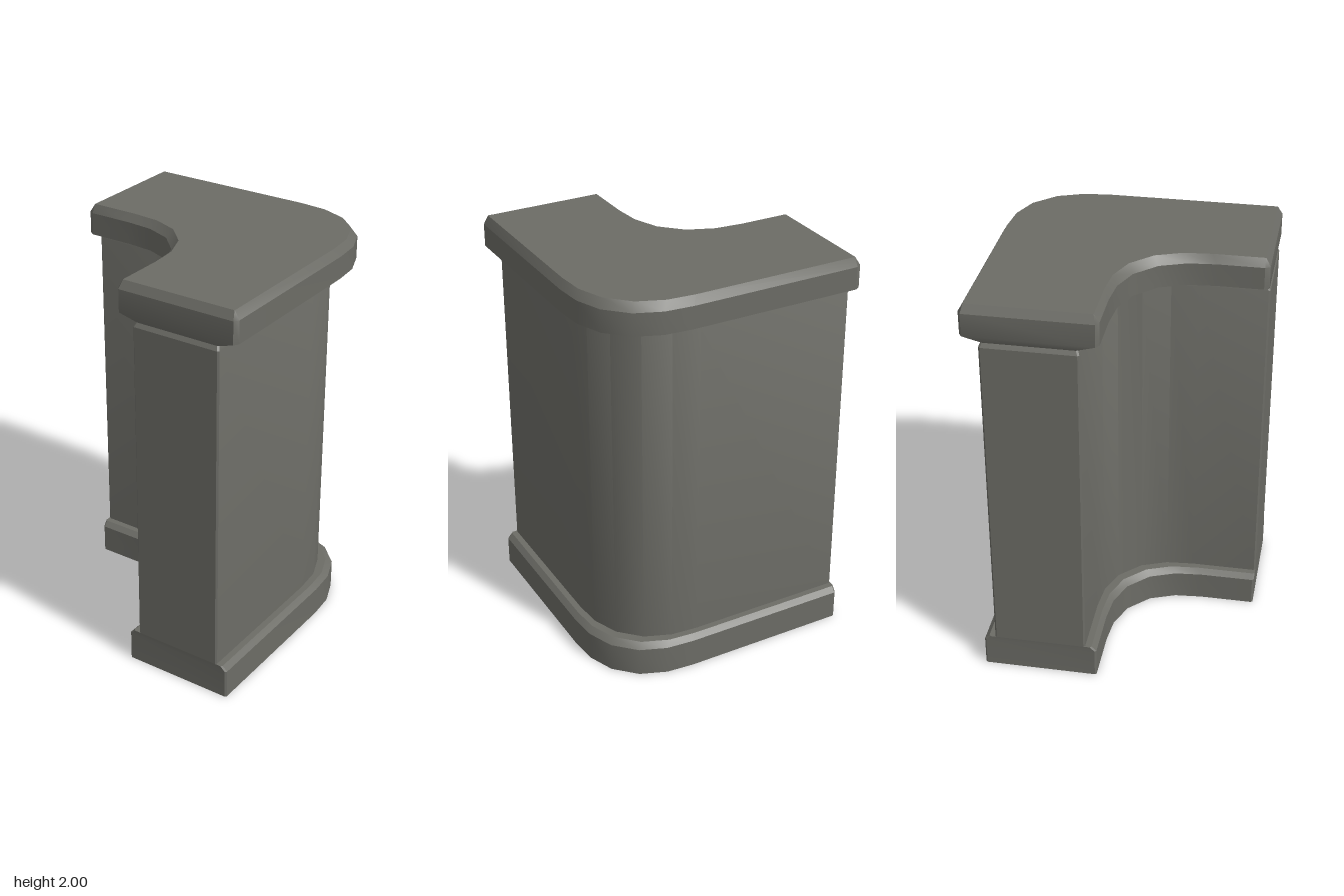
import * as THREE from 'three';
import { toCreasedNormals } from 'three/addons/utils/BufferGeometryUtils.js';

const EDGE = 0.647;   // outer extent of the coping
const WIDTH = 0.625;  // coping width

// first half of the bend; the other half mirrors over the diagonal
const BEND = [[0.22, -0.647], [0.356, -0.635], [0.484, -0.585]];

// one long side of the wall, moved diagonally inwards by s; dir points to the wall core
function sideLine(s, dir, end, cutX, cutZ) {
  const z = -EDGE + s;
  const half = [[-end, z + dir * cutZ], [-end + cutX, z], ...BEND.map(([x, zz]) => [x - s, zz + s])];
  const mirrored = half.map(([x, zz]) => [-zz, -x]).reverse();
  return [...half, ...mirrored];
}

// closed outline at one height: outer side, then inner side back again
function ring({ y, inset, end, cutX = 0.008, cutZ = 0.008 }) {
  const outer = sideLine(inset, 1, end, cutX, cutZ);
  const inner = sideLine(WIDTH - inset, -1, end, cutX, cutZ).reverse();
  return [...outer, ...inner].map(([x, z]) => [x, y, z]);
}

// skin between stacked outlines, optionally closed on top
function skin(name, levels, material, closeTop = false) {
  const rings = levels.map(ring);
  const n = rings[0].length;
  const index = [];
  for (let r = 0; r < rings.length - 1; r++) {
    for (let i = 0; i < n; i++) {
      const a = r * n + i, b = r * n + (i + 1) % n;
      index.push(a, a + n, b + n, a, b + n, b);
    }
  }
  if (closeTop) {
    const o = (rings.length - 1) * n;
    for (let i = 0; i < n / 2 - 1; i++) {
      const a = o + i, b = a + 1, c = o + n - 1 - i, d = c - 1;
      index.push(a, c, d, a, d, b);
    }
  }
  const geometry = new THREE.BufferGeometry();
  geometry.setAttribute('position', new THREE.Float32BufferAttribute(rings.flat(2), 3));
  geometry.setIndex(index);
  const mesh = new THREE.Mesh(toCreasedNormals(geometry, 0.5), material);
  mesh.name = name;
  return mesh;
}

export function createModel() {
  const group = new THREE.Group();
  group.name = 'curvedWallCorner';
  const stone = new THREE.MeshStandardMaterial({ color: 0x6c6c66, side: THREE.DoubleSide });
  stone.name = 'grey stone';

  const ledge = { y: 0.17, inset: 0.087, end: 0.647 };
  const neck = { y: 1.82, inset: 0.095, end: 0.635 };
  const capCut = { cutX: 0.024, cutZ: 0.015 };

  // plinth, open underneath, with a bevelled upper edge and ledge
  group.add(skin('plinth', [
    { y: 0, inset: 0.032, end: 0.645 },
    { y: 0.145, inset: 0.032, end: 0.645 },
    { y: 0.17, inset: 0.056, end: 0.647 },
    ledge,
  ], stone));

  // tall wall body with a small chamfer at its top
  group.add(skin('wallBody', [
    ledge,
    { y: 1.8, inset: 0.087, end: 0.647 },
    neck,
  ], stone));

  // overhanging coping with bevelled edges
  group.add(skin('coping', [
    neck,
    { y: 1.85, inset: 0, end: 0.647, ...capCut },
    { y: 1.96, inset: 0, end: 0.647, ...capCut },
    { y: 2, inset: 0.024, end: 0.624, cutX: 0.001, cutZ: 0.001 },
  ], stone, true));

  return group;
}
